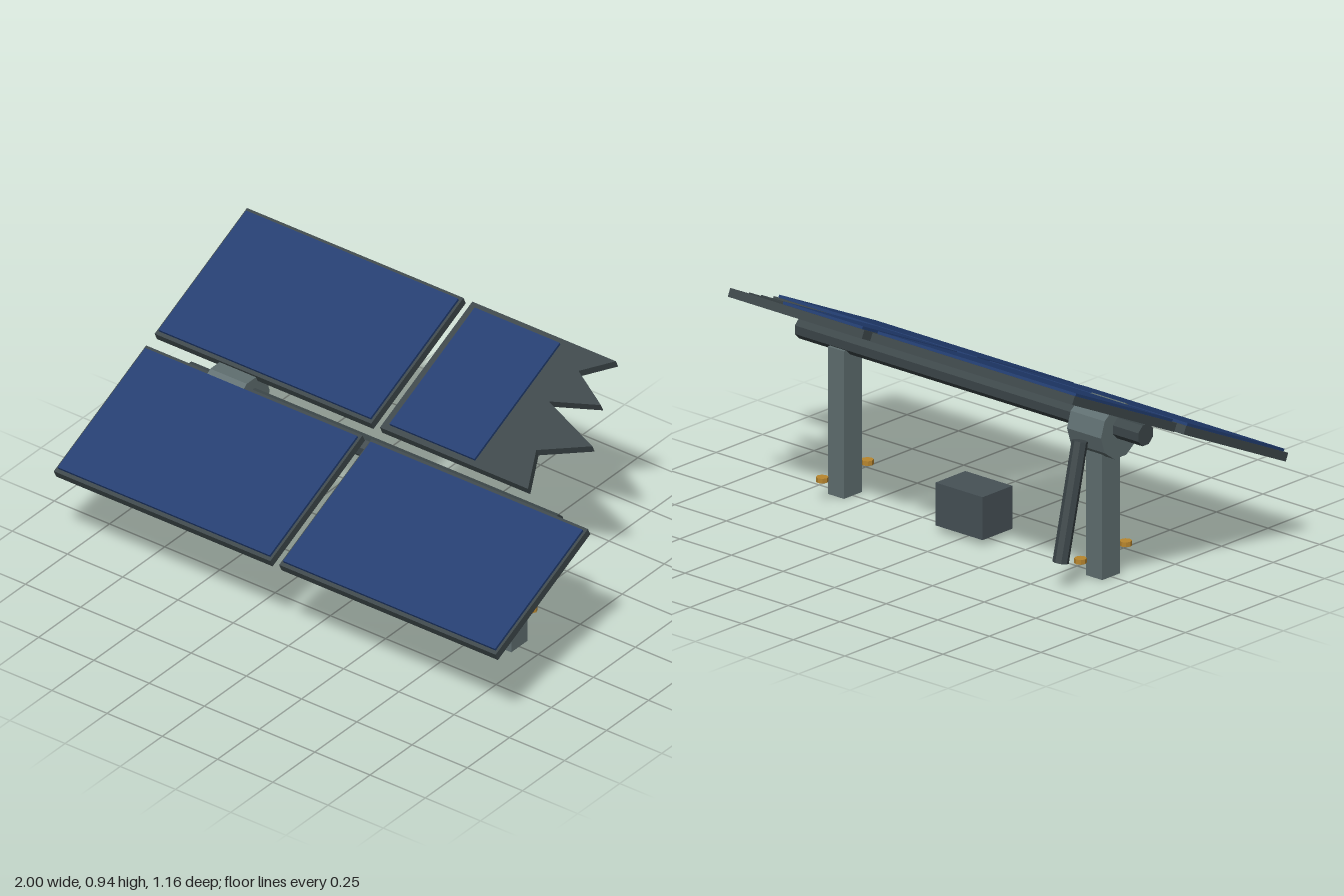
import * as THREE from 'three';

const paint = (color) => new THREE.MeshStandardMaterial({ color, flatShading: true });

export function createModel() {
  const model = new THREE.Group();
  const steel = paint(0x5f6e70);
  const dark = paint(0x3c4649);
  const casing = paint(0x465156);
  const glass = paint(0x213c70);
  const brass = paint(0xb8862e);

  const add = (parent, name, geometry, material, x = 0, y = 0, z = 0) => {
    const mesh = new THREE.Mesh(geometry, material);
    mesh.name = name;
    mesh.position.set(x, y, z);
    parent.add(mesh);
    return mesh;
  };
  const box = (w, h, d) => new THREE.BoxGeometry(w, h, d);

  // Tilted panel table: local z runs down the slope, local y is the panel normal
  const table = new THREE.Group();
  table.name = 'panelTable';
  table.position.y = 0.6515;
  table.rotation.x = THREE.MathUtils.degToRad(25);
  model.add(table);

  const thick = 0.033, half = 0.303, rowOffset = 0.331, glassY = 0.021;

  // Three intact panels
  for (const [sx, sz] of [[-1, -1], [-1, 1], [1, 1]]) {
    const panel = new THREE.Group();
    panel.name = 'solarPanel';
    panel.position.set(sx * 0.51, 0, sz * rowOffset);
    table.add(panel);
    add(panel, 'panelFrame', box(0.98, thick, half * 2), dark);
    add(panel, 'panelGlass', box(0.96, 0.012, 0.575), glass, 0, glassY);
  }

  // Broken panel with a jagged outer edge
  const broken = new THREE.Group();
  broken.name = 'brokenPanel';
  broken.position.z = -rowOffset;
  table.add(broken);
  const outline = [
    [0.02, half], [0.69, half], [0.62, 0.147], [0.805, 0.047], [0.54, -0.052],
    [0.73, -0.118], [0.565, -0.21], [0.67, -half], [0.02, -half],
  ];
  const shape = new THREE.Shape(outline.map(([x, v]) => new THREE.Vector2(x, -v)));
  const jagged = new THREE.ExtrudeGeometry(shape, { depth: thick, bevelEnabled: false });
  jagged.rotateX(-Math.PI / 2).translate(0, -thick / 2, 0);
  add(broken, 'brokenFrame', jagged, dark);
  add(broken, 'brokenGlass', box(0.385, 0.012, 0.56), glass, 0.2425, glassY, 0);

  // Octagonal torque tube along x
  const tube = new THREE.CylinderGeometry(0.043, 0.043, 1.665, 8);
  tube.rotateY(Math.PI / 8).rotateZ(Math.PI / 2);
  add(model, 'torqueTube', tube, dark, 0, 0.587, 0);

  // Drive drum around the tube at one post
  const drum = new THREE.CylinderGeometry(0.104, 0.104, 0.165, 10);
  drum.rotateZ(Math.PI / 2);
  add(model, 'driveDrum', drum, steel, -0.627, 0.57, 0);

  // Leaning actuator arm behind the drum
  const top = new THREE.Vector3(-0.627, 0.548, -0.126);
  const foot = new THREE.Vector3(-0.627, 0.108, -0.23);
  const arm = add(model, 'actuatorArm',
    new THREE.CylinderGeometry(0.03, 0.03, top.distanceTo(foot), 8), dark);
  arm.position.copy(top).lerp(foot, 0.5);
  arm.quaternion.setFromUnitVectors(new THREE.Vector3(0, 1, 0), top.clone().sub(foot).normalize());

  // Posts, each with a pair of anchor bolts
  for (const side of [-1, 1]) {
    const x = side * 0.626;
    add(model, 'post', box(0.078, 0.567, 0.096), steel, x, 0.2835, 0);
    for (const z of [-0.122, 0.122]) {
      add(model, 'anchorBolt', new THREE.CylinderGeometry(0.023, 0.023, 0.018, 8), brass, x, 0.087, z);
    }
  }

  // Control box between the posts
  add(model, 'controlBox', box(0.228, 0.165, 0.16), casing, 0, 0.1075, 0);

  return model;
}
